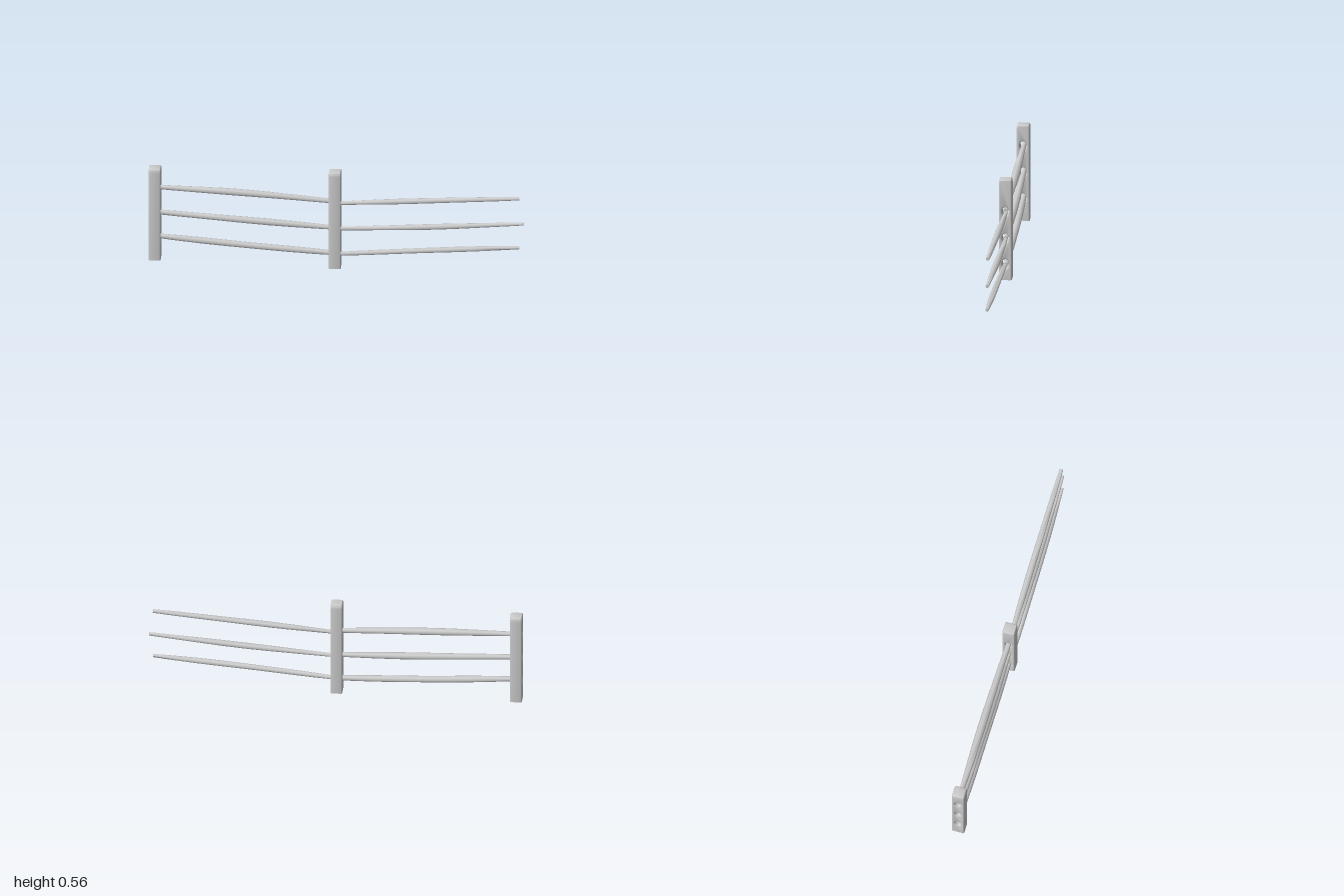
import * as THREE from 'three';
import { toCreasedNormals } from 'three/addons/utils/BufferGeometryUtils.js';

const material = new THREE.MeshStandardMaterial({ color: 0xcccccc, side: THREE.DoubleSide });

// Post: side profile with three oval holes, extruded across x, open underneath
function makePost(name, x, base, top, holeHeights) {
  const half = 0.035, width = 0.064, bevel = 0.007, skirt = base - 0.02;
  const shape = new THREE.Shape();
  shape.moveTo(-half, skirt);
  shape.lineTo(half, skirt);
  shape.lineTo(half, top - 0.022);
  shape.quadraticCurveTo(half - 0.001, top, half - 0.008, top);
  shape.lineTo(-half + 0.008, top);
  shape.quadraticCurveTo(-half + 0.001, top, -half, top - 0.022);
  shape.closePath();
  for (const y of holeHeights) {
    const hole = new THREE.Path();
    hole.absellipse(0, y, 0.019, 0.027, 0, Math.PI * 2, true);
    shape.holes.push(hole);
  }
  const solid = new THREE.ExtrudeGeometry(shape, {
    depth: width - 2 * bevel, curveSegments: 6,
    bevelEnabled: true, bevelSize: bevel, bevelThickness: bevel, bevelOffset: -bevel, bevelSegments: 3,
  });
  solid.translate(0, 0, bevel - width / 2);
  solid.rotateY(Math.PI / 2);

  // Cut the skirt level with the base and drop the bottom faces
  const p = solid.attributes.position;
  const kept = [];
  for (let i = 0; i < p.count; i += 3) {
    const ys = [0, 1, 2].map((k) => Math.max(p.getY(i + k), base));
    if (Math.max(...ys) < base + 1e-4) continue;
    for (let k = 0; k < 3; k++) kept.push(p.getX(i + k), ys[k], p.getZ(i + k));
  }
  const open = new THREE.BufferGeometry();
  open.setAttribute('position', new THREE.Float32BufferAttribute(kept, 3));
  const post = new THREE.Mesh(toCreasedNormals(open, 0.7), material);
  post.position.x = x;
  post.name = name;
  return post;
}

// Rail: eight-sided pole through the given centre points, thicker in the middle
function makeRail(name, points, endRadius, phase) {
  const curve = new THREE.CatmullRomCurve3(points.map((q) => new THREE.Vector3(...q)));
  const geo = new THREE.CylinderGeometry(1, 1, 1, 8, 8);
  geo.rotateZ(-Math.PI / 2);
  const p = geo.attributes.position;
  for (let i = 0; i < p.count; i++) {
    const t = p.getX(i) + 0.5;
    const c = curve.getPoint(t);
    const swell = Math.pow(Math.sin(Math.PI * t), 0.8);
    const knot = 1 + 0.06 * Math.sin(9 * t + phase);
    p.setXYZ(i, c.x,
      c.y + p.getY(i) * (endRadius + 0.005 * swell) * knot,
      c.z + p.getZ(i) * (endRadius + 0.008 * swell) * knot);
  }
  const rail = new THREE.Mesh(toCreasedNormals(geo, 0.95), material);
  rail.name = name;
  return rail;
}

export function createModel() {
  const group = new THREE.Group();
  group.name = 'fence';

  group.add(makePost('endPost', -0.967, 0.015, 0.548, [0.14, 0.285, 0.432]));
  group.add(makePost('middlePost', -0.005, 0, 0.56, [0.09, 0.234, 0.381]));

  // Heights of each rail: start, middle and finish of both bays
  const rails = [
    { name: 'bottomRail', first: [0.146, 0.107, 0.078], second: [0.074, 0.114, 0.147], end: 0.98, z: 0.004 },
    { name: 'middleRail', first: [0.286, 0.254, 0.227], second: [0.221, 0.249, 0.286], end: 1.0, z: -0.001 },
    { name: 'topRail', first: [0.432, 0.413, 0.382], second: [0.37, 0.403, 0.434], end: 0.98, z: -0.002 },
  ];
  rails.forEach(({ name, first, second, end, z }, i) => {
    group.add(makeRail(name + 'First', [
      [-0.975, first[0], -0.003], [-0.48, first[1], -0.003], [0.005, first[2], 0],
    ], 0.0125, i * 2));
    group.add(makeRail(name + 'Second', [
      [-0.01, second[0], z], [0.49, second[1], z], [end, second[2], z / 2],
    ], 0.0095, i * 2 + 1));
  });
  return group;
}
